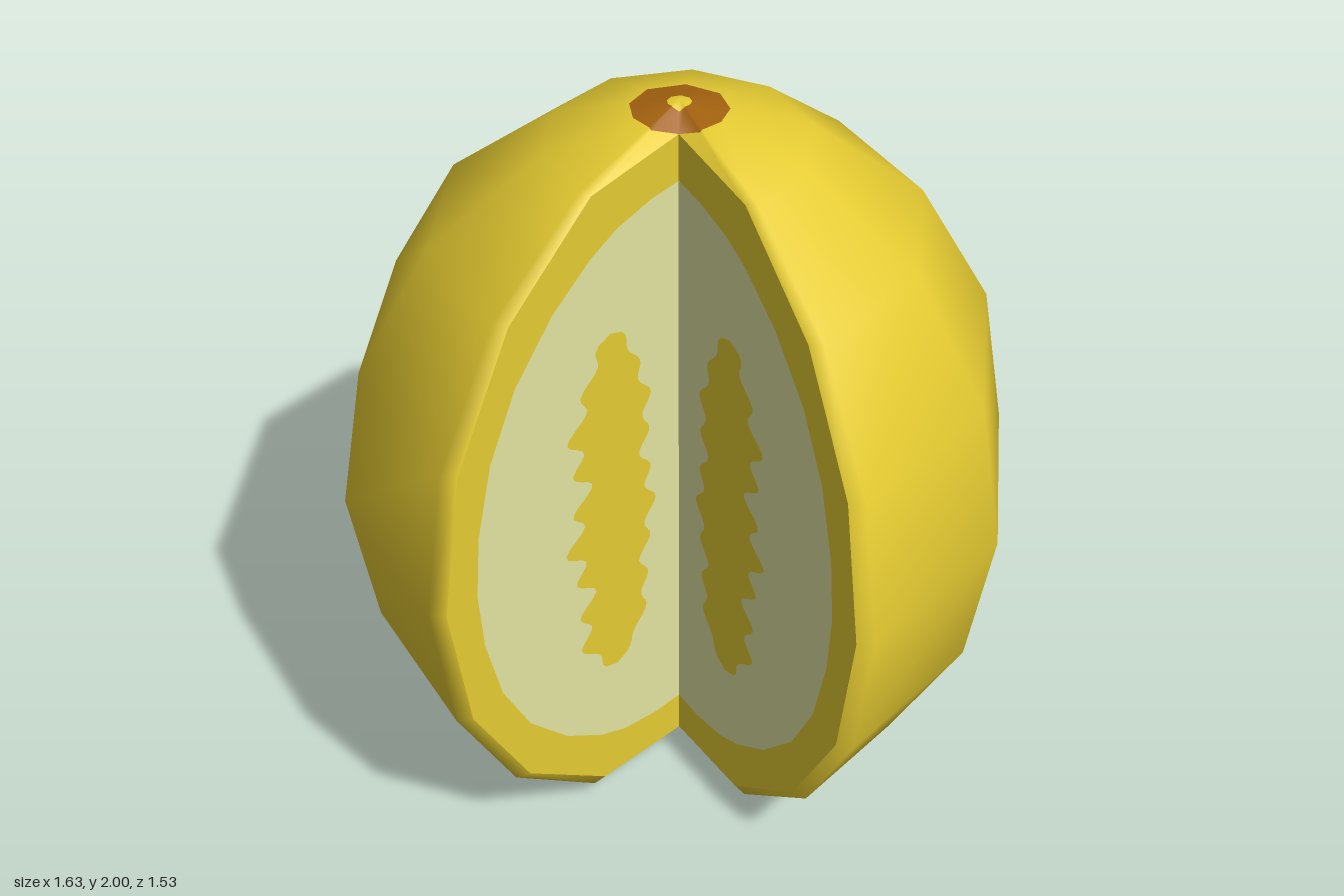
import * as THREE from 'three';

const CZ = 0.085;                       // cut axis sits slightly forward
const RAD = Math.PI / 180;
const YAW = 1.2;                        // small turn of the whole fruit, degrees
const RINGS = [[0.06, 0.327], [0.283, 0.605], [0.615, 0.79], [1, 0.853], [1.387, 0.79], [1.72, 0.605], [1.94, 0.327]];
const innerLip = ([y, r]) => [1 + (y - 1) * 0.985, r - 0.028];

const mat = (name, color, side = THREE.FrontSide) => {
  const m = new THREE.MeshStandardMaterial({ color, side });
  m.name = name;
  return m;
};

// Ten-sided rind with two segments left out, rounded lips and a patch at each pole
function rindGeometry() {
  const pos = [], yellow = [], brown = [];
  const add = (x, y, z) => pos.push(x, y, z) / 3 - 1;
  const columns = [{ a: -144, lip: true }];
  for (let k = -4; k <= 4; k++) columns.push({ a: k * 36 - Math.sign(k) * (Math.abs(k) === 4 ? 2.3 : 0) });
  columns.push({ a: 144, lip: true });

  const rows = RINGS.map(ring => columns.map(({ a, lip }) => {
    const [y, r] = lip ? innerLip(ring) : ring;
    const t = (a + YAW) * RAD;
    return add(r * Math.sin(t), y, CZ - r * Math.cos(t));
  }));
  for (let i = 0; i < rows.length - 1; i++)
    for (let j = 0; j < columns.length - 1; j++) {
      const a = rows[i][j + 1], b = rows[i][j], c = rows[i + 1][j], d = rows[i + 1][j + 1];
      yellow.push(a, b, c, a, c, d);
    }

  // Pole caps: small yellow centre, brown ring, then yellow out to the first ring
  const cap = (row, poleY, apexY, patch, flip) => {
    const loop = [...row, add(0, apexY, CZ)];
    const p = new THREE.Vector3(-0.005, poleY, 0.002);
    const pole = add(p.x, p.y, p.z);
    const inset = radius => loop.map(i => {
      const v = new THREE.Vector3().fromArray(pos, i * 3);
      const d = Math.hypot(v.x - p.x, v.z - p.z);
      v.lerpVectors(p, v, Math.min(1, radius / d));
      return add(v.x, v.y, v.z);
    });
    const hole = inset(0.03), edge = inset(patch);
    const tri = (list, a, b, c) => flip ? list.push(a, c, b) : list.push(a, b, c);
    loop.forEach((_, j) => {
      const n = (j + 1) % loop.length;
      tri(yellow, pole, hole[n], hole[j]);
      tri(brown, hole[j], hole[n], edge[n]);
      tri(brown, hole[j], edge[n], edge[j]);
      tri(yellow, edge[j], edge[n], loop[n]);
      tri(yellow, edge[j], loop[n], loop[j]);
    });
  };
  cap(rows[rows.length - 1], 2, 1.955, 0.12, false);
  cap(rows[0], 0, 0.045, 0.21, true);

  const g = new THREE.BufferGeometry();
  g.setAttribute('position', new THREE.Float32BufferAttribute(pos, 3));
  g.setIndex([...yellow, ...brown]);
  g.addGroup(0, yellow.length, 0);
  g.addGroup(yellow.length, brown.length, 1);
  g.computeVertexNormals();
  return g;
}

// Outlines on the cut, as [distance from axis, height]
const rimOutline = () => [[0, 0.045], ...RINGS.map(innerLip).map(([y, r]) => [r, y]), [0, 1.955]];

function fleshOutline() {
  const half = [[0, 0.83], [0.1, 0.825], [0.22, 0.8], [0.31, 0.76], [0.44, 0.67], [0.57, 0.53], [0.66, 0.36], [0.71, 0.17]];
  return [
    ...half.map(([r, y]) => [r, 1 + y]), [0.725, 1],
    ...half.slice().reverse().map(([r, y]) => [r, 1 - y]),
  ];
}

function seedOutline() {
  const inner = [], outer = [], n = 72;
  for (let i = 0; i <= n; i++) {
    const u = (i / n) * 2 - 1, y = 0.99 + 0.53 * u;
    const taper = Math.pow(Math.max(0, 1 - u ** 6), 0.5) * (1 - 0.3 * u * u);
    const wave = Math.cos((y - 0.93) * 2 * Math.PI / 0.115);
    const slow = Math.cos((y - 0.93) * 2 * Math.PI / 0.34);
    outer.push([0.25 + taper * (0.125 + 0.03 * wave + 0.02 * slow), y]);
    inner.push([0.25 - taper * (0.125 + 0.018 * wave + 0.012 * slow), y]);
  }
  return [...outer, ...inner.reverse()];
}

export function createModel() {
  const model = new THREE.Group();
  model.name = 'cutMelon';
  const yellow = mat('rindYellow', 0xe6cc32);
  const brown = mat('stemBrown', 0xa4620f);
  const pale = mat('paleFlesh', 0xe3e6a2);

  const rind = new THREE.Mesh(rindGeometry(), [yellow, brown]);
  rind.name = 'rind';
  model.add(rind);

  // The two cut faces, each with thin flesh and seed layers
  for (const side of [1, -1]) {
    const a = (side * 144 + YAW) * RAD;
    const face = new THREE.Group();
    face.name = side > 0 ? 'leftCutFace' : 'rightCutFace';
    face.position.z = CZ;
    face.rotation.y = Math.atan2(side * Math.cos(a), side * Math.sin(a));
    const layer = (name, outline, material, lift) => {
      const shape = new THREE.Shape(outline.map(([r, y]) => new THREE.Vector2(side * r, y)));
      const mesh = new THREE.Mesh(new THREE.ShapeGeometry(shape), material);
      mesh.name = name;
      mesh.position.z = lift;
      face.add(mesh);
    };
    layer('rim', rimOutline(), yellow, 0);
    layer('flesh', fleshOutline(), pale, 0.003);
    layer('seeds', seedOutline(), yellow, 0.006);
    model.add(face);
  }
  return model;
}
